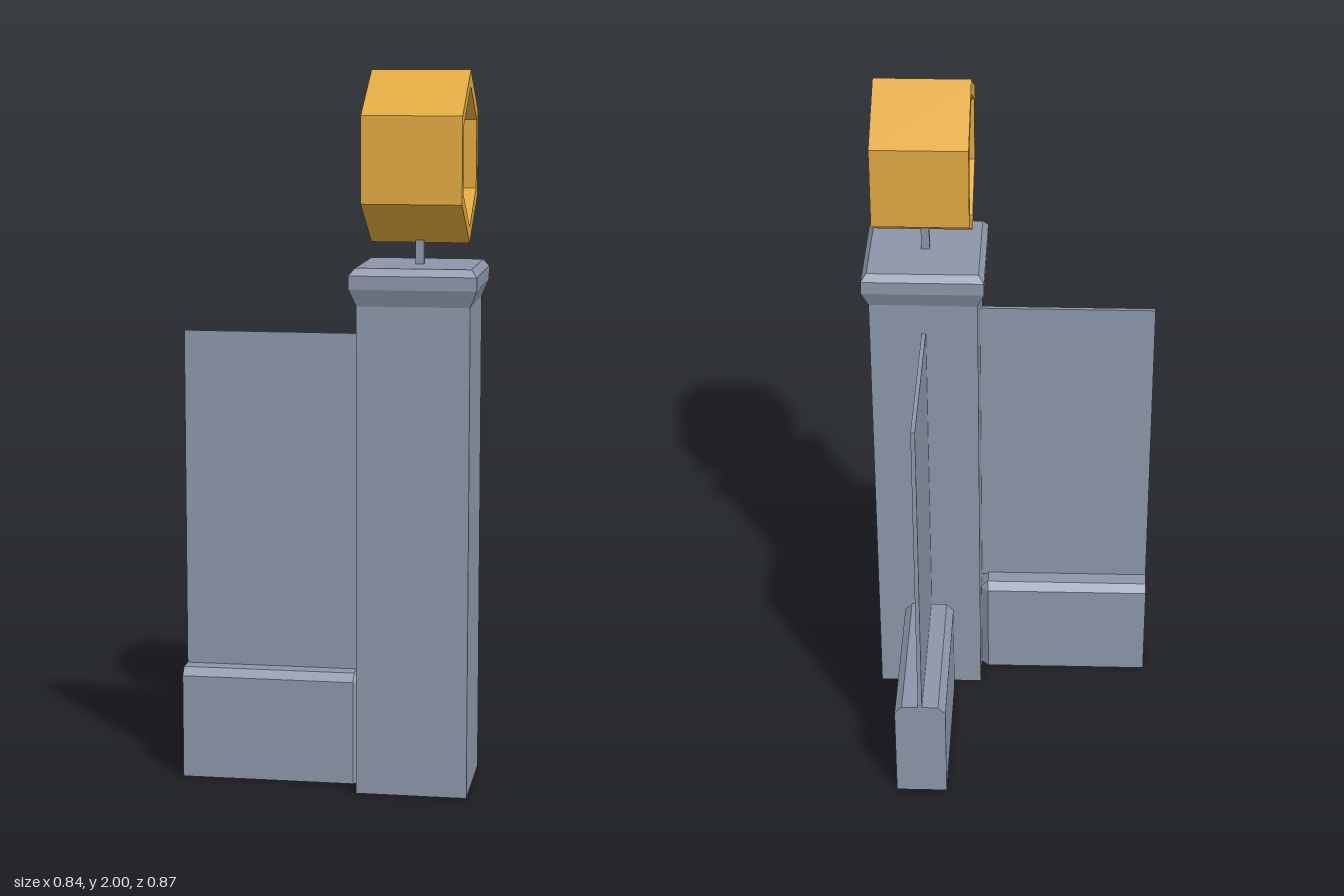
import * as THREE from 'three';

const stone = new THREE.MeshStandardMaterial({ color: 0x8c96a9 });
stone.name = 'slate grey';
const gold = new THREE.MeshStandardMaterial({ color: 0xe0a840 });
gold.name = 'golden yellow';

const CX = 0.245, CZ = 0.23; // pillar axis

// Flat-faced solid through matching rings of points, counter-clockwise about the travel direction
function loft(rings) {
  const out = [];
  const tri = (...pts) => pts.forEach((p) => out.push(...p));
  const n = rings[0].length;
  for (let r = 0; r < rings.length - 1; r++) {
    const a = rings[r], b = rings[r + 1];
    for (let i = 0; i < n; i++) {
      const j = (i + 1) % n;
      tri(a[i], a[j], b[j]);
      tri(a[i], b[j], b[i]);
    }
  }
  const first = rings[0], last = rings[rings.length - 1];
  for (let i = 1; i < n - 1; i++) {
    tri(first[0], first[i + 1], first[i]);
    tri(last[0], last[i], last[i + 1]);
  }
  const g = new THREE.BufferGeometry();
  g.setAttribute('position', new THREE.Float32BufferAttribute(out, 3));
  g.computeVertexNormals();
  return g;
}

function mesh(name, geometry, material, x = 0, y = 0, z = 0) {
  const m = new THREE.Mesh(geometry, material);
  m.name = name;
  m.position.set(x, y, z);
  return m;
}

const square = (h, y) => [[h, y, h], [h, y, -h], [-h, y, -h], [-h, y, h]];

// Bevelled kerb section at distance z
const kerb = (z, half, shoulder, topHalf, top) => [
  [half, 0, z], [half, shoulder, z], [topHalf, top, z],
  [-topHalf, top, z], [-half, shoulder, z], [-half, 0, z],
];

// Low wall with a thin upright panel, running along local z up to the pillar
function wallArm(name) {
  const arm = new THREE.Group();
  arm.name = name;
  const len = 0.512;
  arm.add(mesh('wallBase', loft([
    kerb(0, 0.074, 0.295, 0.053, 0.317),
    kerb(len - 0.023, 0.074, 0.295, 0.053, 0.317),
    kerb(len, 0.053, 0.29, 0.05, 0.295),
  ]), stone));
  arm.add(mesh('wallPanel', new THREE.BoxGeometry(0.012, 0.965, len), stone, 0, 0.7925, len / 2));
  return arm;
}

// Hexagon outline with a corner at the top
const hexagon = (r) => Array.from({ length: 6 }, (_, i) => {
  const a = Math.PI / 2 + (i * Math.PI) / 3;
  return new THREE.Vector2(r * Math.cos(a), r * Math.sin(a));
});

export function createModel() {
  const model = new THREE.Group();
  model.name = 'cornerPillar';

  // Square pillar and its flared cap
  model.add(mesh('pillar', loft([square(0.155, 0), square(0.155, 1.37)]), stone, CX, 0, CZ));
  model.add(mesh('pillarCap', loft([
    square(0.155, 1.368), square(0.174, 1.415), square(0.174, 1.452), square(0.158, 1.472),
  ]), stone, CX, 0, CZ));

  // Two walls meeting at the pillar
  const back = wallArm('backWall');
  back.position.set(CX, 0, -0.435);
  const side = wallArm('sideWall');
  side.rotation.y = Math.PI / 2;
  side.position.set(-0.42, 0, 0.228);
  model.add(back, side);

  // Stem and hollow hexagonal ornament
  model.add(mesh('stem', new THREE.BoxGeometry(0.024, 0.08, 0.024), stone, CX, 1.505, CZ));
  const shape = new THREE.Shape(hexagon(0.235));
  shape.holes.push(new THREE.Path(hexagon(0.19)));
  const tube = new THREE.ExtrudeGeometry(shape, { depth: 0.272, bevelEnabled: false });
  tube.translate(0, 0, -0.136);
  tube.rotateY(Math.PI / 2);
  model.add(mesh('hexagonTube', tube, gold, CX, 1.765, CZ));

  return model;
}
